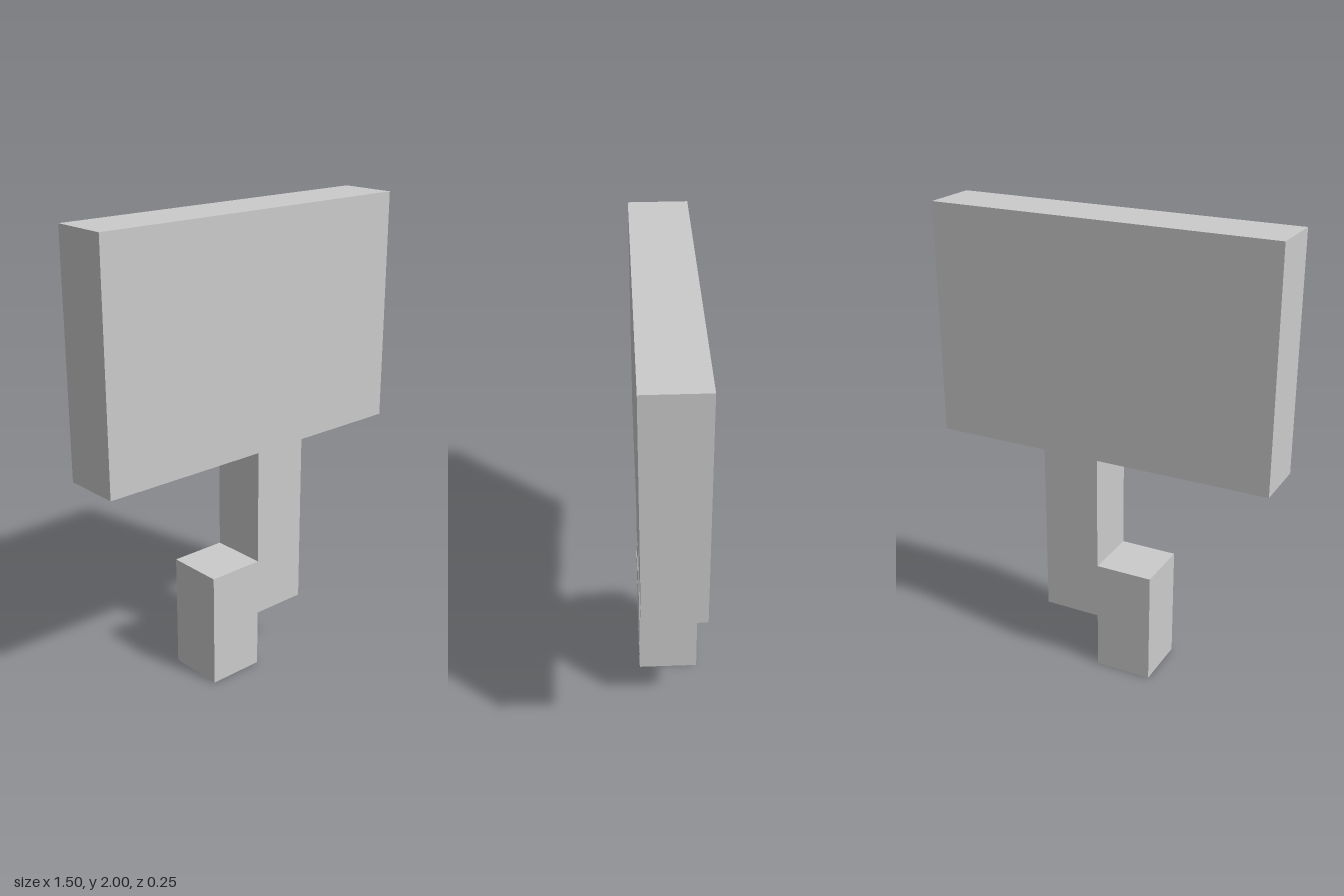
import * as THREE from 'three';

const DEPTH = 0.25;

export function createModel() {
  const group = new THREE.Group();
  group.name = 'steppedSign';

  // One continuous outline: wide panel, offset post, stepped foot
  const outline = new THREE.Shape([
    [-0.25, 0], [0, 0], [0, 0.25], [0.25, 0.25],   // foot and underside of post
    [0.25, 1], [0.75, 1], [0.75, 2],               // post side and panel right edge
    [-0.75, 2], [-0.75, 1], [0, 1],                // panel top and left edge
    [0, 0.5], [-0.25, 0.5],                        // post side and top of foot
  ].map(([x, y]) => new THREE.Vector2(x, y)));

  const geometry = new THREE.ExtrudeGeometry(outline, { depth: DEPTH, bevelEnabled: false });
  geometry.translate(0, 0, -DEPTH / 2);

  const body = new THREE.Mesh(geometry, new THREE.MeshStandardMaterial({ color: 0xcccccc, flatShading: true }));
  body.name = 'panelWithSteppedPost';
  group.add(body);
  return group;
}
